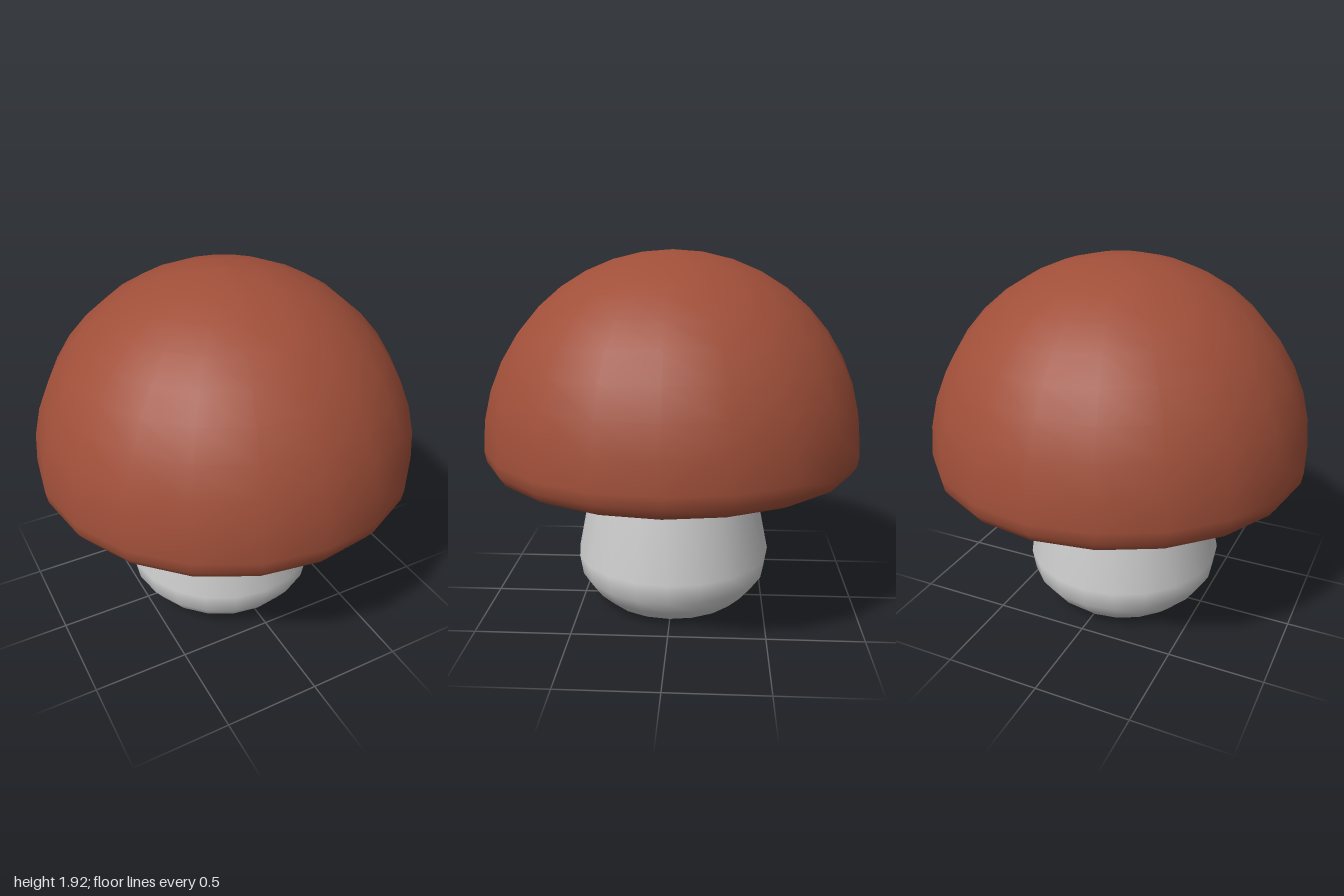
import * as THREE from 'three';

const SIDES = 20;

// Smooth open shell turned around the y axis from [radius, height] pairs
function turned(name, profile, color) {
  const points = profile.map(([r, y]) => new THREE.Vector2(r, y));
  const material = new THREE.MeshStandardMaterial({ color, side: THREE.DoubleSide });
  const mesh = new THREE.Mesh(new THREE.LatheGeometry(points, SIDES), material);
  mesh.name = name;
  return mesh;
}

export function createModel() {
  const group = new THREE.Group();
  group.name = 'mushroom';

  // Cap: slightly hollowed underside with an open centre, rounded lip, then a dome
  const cap = [[0.57, 0.85], [0.91, 0.79], [0.96, 0.815], [0.99, 0.86]];
  for (let i = 0; i <= 10; i++) {
    const a = (i / 10) * Math.PI / 2;
    cap.push([i === 10 ? 0 : Math.cos(a), 0.92 + Math.sin(a)]);
  }
  group.add(turned('cap', cap, 0xa04f39));

  // Stem: open tube with a bulging foot, set a little off centre
  const stem = turned('stem', [
    [0.28, 0], [0.385, 0.025], [0.455, 0.09], [0.512, 0.17], [0.53, 0.28], [0.415, 0.855],
  ], 0xcccccc);
  stem.position.x = -0.025;
  group.add(stem);

  return group;
}
